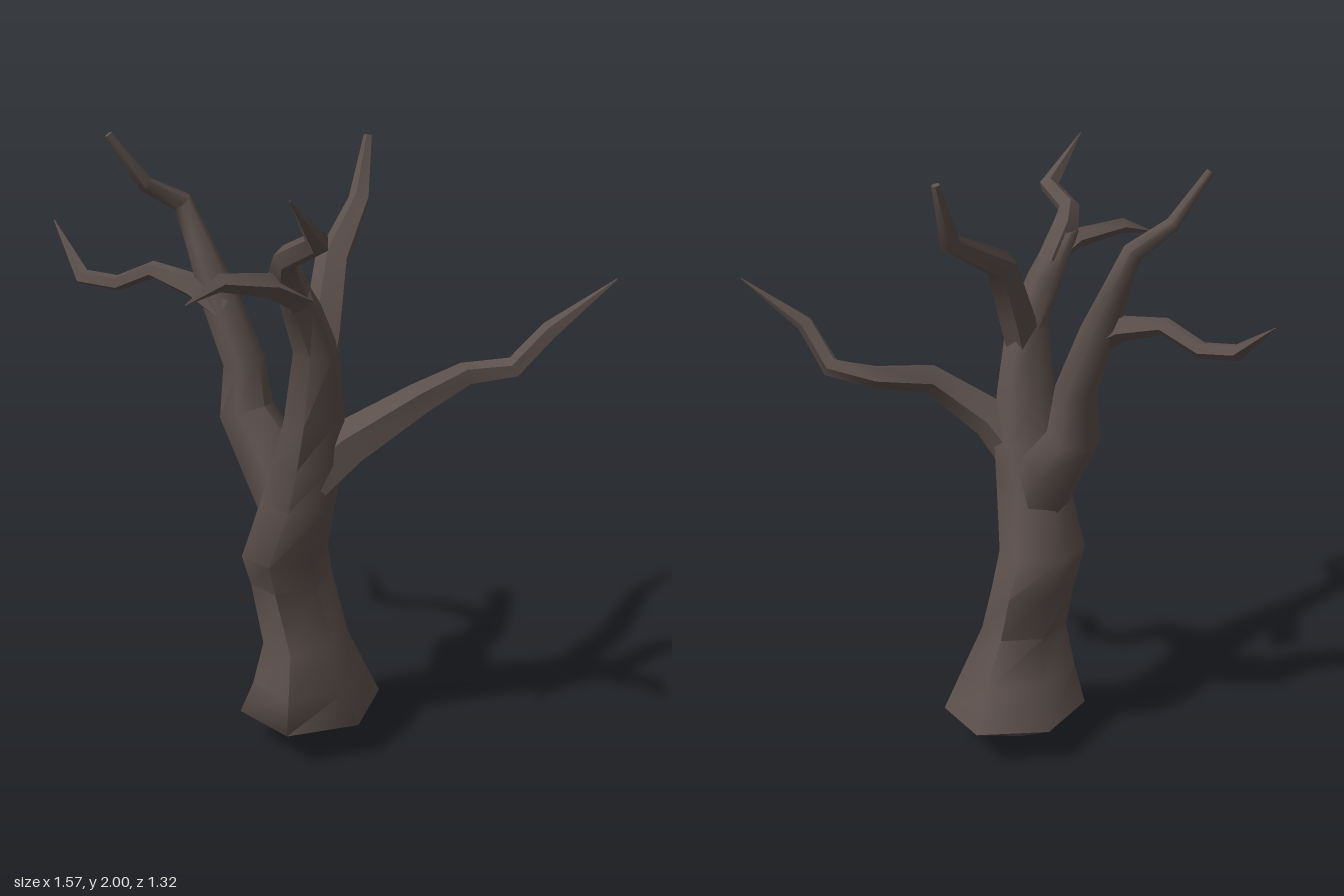
import * as THREE from 'three';
import { toCreasedNormals } from 'three/addons/utils/BufferGeometryUtils.js';

// Skin a limb over rings given as [x, y, z, radius, depthRadius?].
// Level limbs keep their rings horizontal; others turn them along the path.
function limbGeometry(rings, sides, level = false, spin = 0) {
  const centres = rings.map(([x, y, z]) => new THREE.Vector3(x, y, z));
  const positions = [], indices = [];
  const side = new THREE.Vector3(1, 0, 0), tangent = new THREE.Vector3();
  const last = rings.length - 1;
  rings.forEach(([x, y, z, r, depth = r], i) => {
    // Average the neighbouring directions so that bends are mitred
    tangent.set(0, 0, 0);
    if (i > 0) tangent.add(centres[i].clone().sub(centres[i - 1]).normalize());
    if (i < last) tangent.add(centres[i + 1].clone().sub(centres[i]).normalize());
    if (level) tangent.set(0, 1, 0);
    tangent.normalize();
    side.addScaledVector(tangent, -side.dot(tangent)).normalize();
    const across = side.clone().cross(tangent);
    for (let k = 0; k < sides; k++) {
      const a = spin + (k / sides) * Math.PI * 2;
      const p = centres[i].clone()
        .addScaledVector(side, Math.cos(a) * r)
        .addScaledVector(across, Math.sin(a) * depth);
      positions.push(p.x, p.y, p.z);
    }
  });
  for (let i = 0; i < last; i++) {
    for (let k = 0; k < sides; k++) {
      const a = i * sides + k, b = i * sides + ((k + 1) % sides);
      indices.push(a, a + sides, b, b, a + sides, b + sides);
    }
  }
  // Close the far end
  for (let k = 1; k < sides - 1; k++) {
    indices.push(last * sides, last * sides + k + 1, last * sides + k);
  }
  const geometry = new THREE.BufferGeometry();
  geometry.setAttribute('position', new THREE.Float32BufferAttribute(positions, 3));
  geometry.setIndex(indices);
  return toCreasedNormals(geometry, 1.1);
}

export function createModel() {
  const tree = new THREE.Group();
  tree.name = 'bareTree';
  const bark = new THREE.MeshStandardMaterial({ color: 0x5c504c });
  bark.name = 'darkBark';

  function addLimb(name, rings, sides, level, spin) {
    const mesh = new THREE.Mesh(limbGeometry(rings, sides, level, spin), bark);
    mesh.name = name;
    tree.add(mesh);
  }

  // Trunk: pointed root, flared foot, kinked stem leaning to the left
  addLimb('trunk', [
    [0.13, 0.0, 0.0, 0.002],
    [0.14, 0.125, -0.02, 0.22, 0.25],
    [0.165, 0.25, 0.01, 0.165, 0.205],
    [0.175, 0.4, 0.04, 0.125, 0.15],
    [0.1, 0.58, 0.03, 0.112, 0.148],
    [0.12, 0.7, 0.08, 0.125, 0.15],
    [0.185, 0.9, 0.085, 0.125, 0.122],
    [0.235, 1.05, 0.095, 0.105, 0.115],
    [0.28, 1.2, 0.115, 0.085, 0.1],
    [0.31, 1.42, 0.14, 0.07, 0.07],
    [0.335, 1.58, 0.23, 0.052, 0.062],
    [0.36, 1.7, 0.32, 0.035, 0.05],
  ], 6, true);

  // Front fork at the top of the trunk
  addLimb('frontUpperBranch', [
    [0.345, 1.6, 0.25, 0.05],
    [0.375, 1.71, 0.33, 0.045],
    [0.43, 1.76, 0.38, 0.036],
    [0.54, 1.82, 0.37, 0.034],
    [0.625, 1.97, 0.555, 0.002],
  ], 5);
  addLimb('frontTwig', [
    [0.36, 1.61, 0.25, 0.045],
    [0.365, 1.67, 0.37, 0.035],
    [0.33, 1.7, 0.53, 0.026],
    [0.34, 1.665, 0.66, 0.002],
  ], 4);

  // Branch bending back from the trunk top
  addLimb('backUpperBranch', [
    [0.305, 1.33, 0.13, 0.06],
    [0.29, 1.46, 0.09, 0.062],
    [0.235, 1.65, 0.0, 0.052],
    [0.095, 1.775, -0.26, 0.034],
    [0.07, 1.96, -0.32, 0.014],
  ], 5);

  // Long branch reaching left and back
  addLimb('leftBackBranch', [
    [0.25, 1.0, 0.08, 0.085],
    [0.34, 1.11, 0.02, 0.075],
    [0.465, 1.24, -0.14, 0.052],
    [0.475, 1.275, -0.34, 0.04],
    [0.58, 1.3, -0.45, 0.034],
    [0.675, 1.43, -0.49, 0.03],
    [0.785, 1.58, -0.66, 0.002],
  ], 5);

  // Heavy right stem splitting off the trunk
  addLimb('rightStem', [
    [0.17, 0.82, 0.09, 0.09],
    [0.07, 1.01, 0.09, 0.105],
    [-0.035, 1.14, 0.1, 0.088],
    [-0.045, 1.3, 0.1, 0.067],
    [-0.125, 1.5, 0.13, 0.06],
    [-0.2, 1.65, 0.14, 0.042],
    [-0.265, 1.77, 0.15, 0.034],
    [-0.28, 1.84, 0.28, 0.024],
    [-0.33, 1.995, 0.375, 0.013],
  ], 6);

  // Side branch of the right stem
  addLimb('rightSideBranch', [
    [-0.09, 1.46, 0.13, 0.05],
    [-0.19, 1.52, 0.17, 0.042],
    [-0.34, 1.555, 0.215, 0.028],
    [-0.45, 1.5, 0.27, 0.026],
    [-0.555, 1.51, 0.325, 0.026],
    [-0.785, 1.645, 0.26, 0.002],
  ], 5);

  return tree;
}
